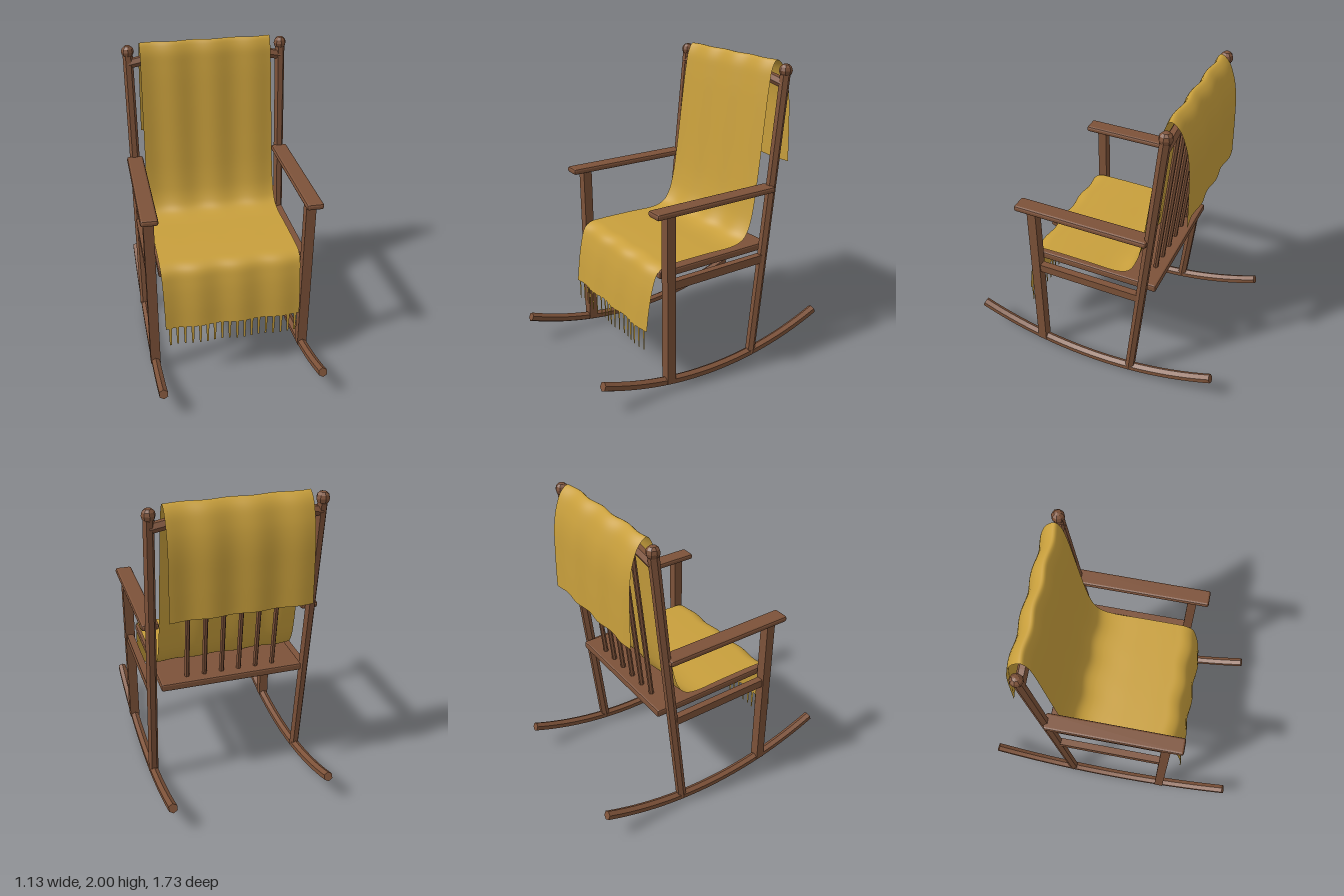
import * as THREE from 'three';
import { RoundedBoxGeometry } from 'three/addons/geometries/RoundedBoxGeometry.js';

const wood = new THREE.MeshStandardMaterial({ color: 0x7d5239, flatShading: true });
wood.name = 'wood';
const cloth = new THREE.MeshStandardMaterial({ color: 0xc89f3c, side: THREE.DoubleSide });
cloth.name = 'mustard cloth';

const POST_X = 0.512;
const V = (x, y, z) => new THREE.Vector3(x, y, z);

// depth of the leaning back at a given height
const backZ = (y) => -0.285 - (y - 0.06) * 0.103;

// waves that run down the blanket
const wave = (x) => -0.007 * Math.cos((2 * Math.PI * (x + 0.085)) / 0.27);

function add(parent, name, geometry, material, position) {
  const mesh = new THREE.Mesh(geometry, material);
  mesh.name = name;
  if (position) mesh.position.copy(position);
  parent.add(mesh);
  return mesh;
}

// straight faceted rod between two points
function rod(parent, name, a, b, radius, sides) {
  const geometry = new THREE.CylinderGeometry(radius, radius, a.distanceTo(b), sides);
  geometry.rotateY(Math.PI / 2);
  const mesh = add(parent, name, geometry, wood, a.clone().lerp(b, 0.5));
  mesh.quaternion.setFromUnitVectors(V(0, 1, 0), b.clone().sub(a).normalize());
  return mesh;
}

// hexagonal bar bent along an arc
function rockerGeometry() {
  const R = 2.298, half = 0.381, points = [];
  for (let i = 0; i <= 24; i++) {
    const a = half * (1 - i / 12);
    points.push(V(0, 0.035 + R * (1 - Math.cos(a)), R * Math.sin(a)));
  }
  const hexagon = new THREE.Shape();
  for (let i = 0; i < 6; i++) {
    const a = Math.PI / 2 + (i * Math.PI) / 3;
    hexagon[i ? 'lineTo' : 'moveTo'](0.031 * Math.cos(a), 0.031 * Math.sin(a));
  }
  hexagon.closePath();
  return new THREE.ExtrudeGeometry(hexagon, {
    steps: 24, bevelEnabled: false, extrudePath: new THREE.CatmullRomCurve3(points),
  });
}

// blanket path from front hem to back hem: half width, height, depth
const drape = new THREE.CatmullRomCurve3([
  V(0.445, 0.42, 0.508), V(0.447, 0.58, 0.488), V(0.45, 0.72, 0.46), V(0.453, 0.80, 0.43),
  V(0.455, 0.834, 0.38), V(0.455, 0.84, 0.30), V(0.455, 0.84, 0.06), V(0.455, 0.84, -0.16),
  V(0.455, 0.87, -0.235), V(0.453, 0.94, -0.28), V(0.45, 1.07, -0.314), V(0.446, 1.30, -0.347),
  V(0.442, 1.60, -0.382), V(0.438, 1.84, -0.412), V(0.436, 1.95, -0.434), V(0.436, 2.0, -0.468),
  V(0.436, 1.965, -0.518), V(0.436, 1.87, -0.56), V(0.437, 1.75, -0.584), V(0.44, 1.55, -0.594),
  V(0.443, 1.33, -0.598),
]);

function blanketGeometry() {
  const geometry = new THREE.PlaneGeometry(2, 1, 48, 100);
  const { position, uv } = geometry.attributes;
  const p = V(0, 0, 0);
  for (let i = 0; i < position.count; i++) {
    drape.getPoint(uv.getY(i), p);
    const x = (uv.getX(i) * 2 - 1) * p.x;
    position.setXYZ(i, x, p.y, p.z + wave(x));
  }
  geometry.computeVertexNormals();
  return geometry;
}

export function createModel() {
  const model = new THREE.Group();
  model.name = 'rockingChair';

  // mirrored side frames
  const rocker = rockerGeometry();
  for (const [side, s] of [['left', 1], ['right', -1]]) {
    const frame = new THREE.Group();
    frame.name = side + 'Frame';
    frame.position.x = s * POST_X;
    model.add(frame);
    add(frame, 'rocker', rocker, wood);
    add(frame, 'frontLeg', new THREE.BoxGeometry(0.065, 1.14, 0.06), wood, V(0, 0.63, 0.38));
    rod(frame, 'backPost', V(0, 0.05, backZ(0.05)), V(0, 1.94, backZ(1.94)), 0.033, 6);
    add(frame, 'finial', new THREE.SphereGeometry(0.042, 8, 6), wood, V(0, 1.945, backZ(1.945)));
    add(frame, 'armrest', new RoundedBoxGeometry(0.11, 0.04, 0.89, 1, 0.014), wood, V(0, 1.208, 0.045));
    add(frame, 'sideRail', new THREE.BoxGeometry(0.045, 0.055, 0.71), wood, V(0, 0.733, 0.02));
  }

  // seat board
  add(model, 'seat', new RoundedBoxGeometry(0.93, 0.05, 0.845, 1, 0.012), wood, V(0, 0.786, -0.01));

  // gently arched crest rail
  const crest = new THREE.QuadraticBezierCurve3(
    V(-POST_X, 1.865, backZ(1.87)), V(0, 1.965, backZ(1.87)), V(POST_X, 1.865, backZ(1.87)));
  add(model, 'crestRail', new THREE.TubeGeometry(crest, 12, 0.033, 6), wood);

  // back spindles
  for (let i = 0; i < 6; i++) {
    const x = (i - 2.5) * 0.114;
    rod(model, 'spindle', V(x, 0.8, backZ(0.8)), V(x, 1.89, backZ(1.89)), 0.016, 6);
  }

  // draped blanket
  add(model, 'blanket', blanketGeometry(), cloth);

  // flat tapered fringe along the front hem
  const strand = new THREE.Shape([[-0.01, 0], [-0.006, -0.138], [0.006, -0.138], [0.01, 0]]
    .map(([x, y]) => new THREE.Vector2(x, y)));
  const strandGeometry = new THREE.ShapeGeometry(strand);
  for (let i = 0; i < 18; i++) {
    const x = (i - 8.5) * 0.049;
    add(model, 'fringe', strandGeometry, cloth, V(x, 0.422, 0.508 + wave(x)));
  }
  return model;
}
